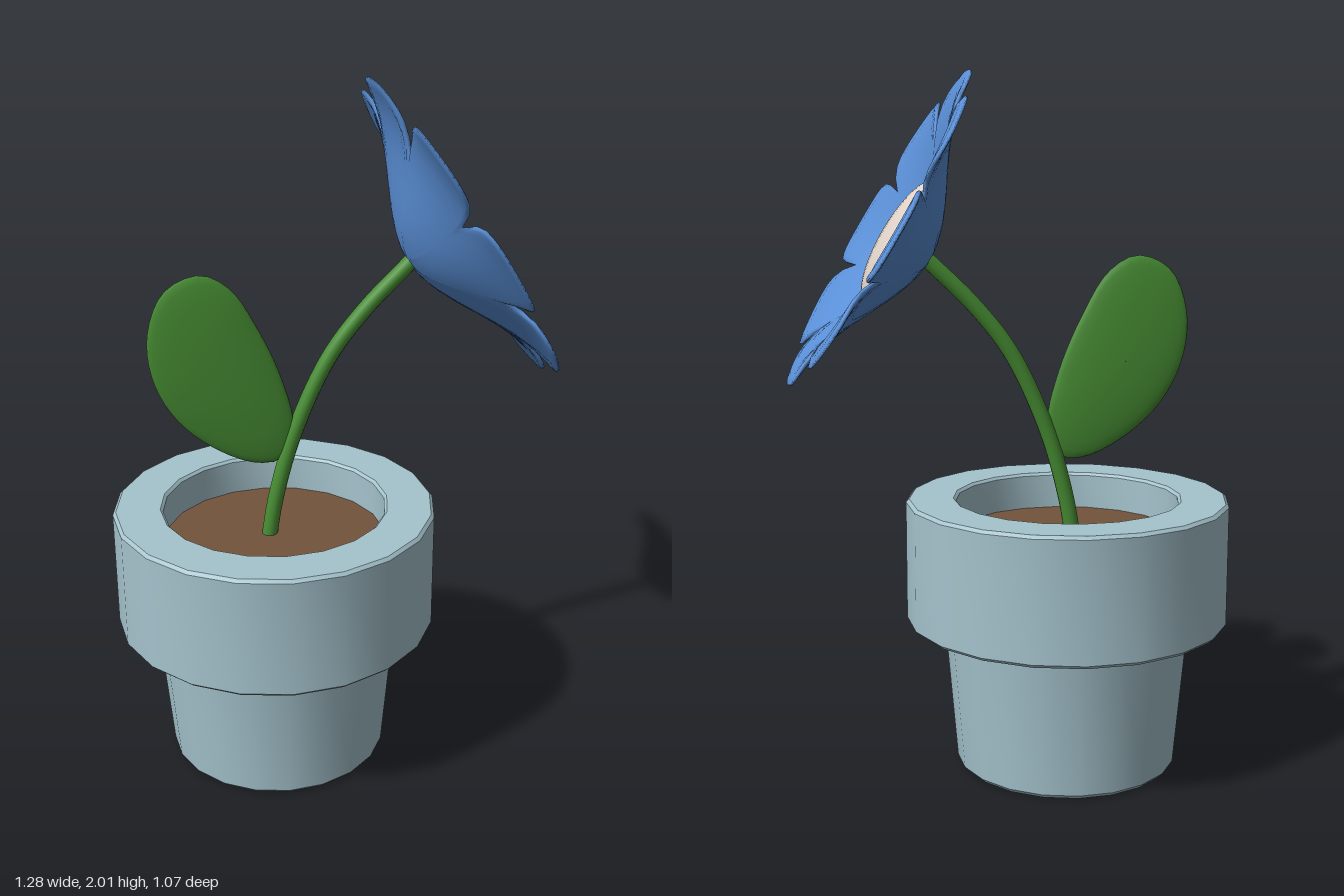
import * as THREE from 'three';
import { toCreasedNormals } from 'three/addons/utils/BufferGeometryUtils.js';

const material = (name, color) => {
  const m = new THREE.MeshStandardMaterial({ color });
  m.name = name;
  return m;
};

// Skins a list of closed rings, each holding the same number of points
function loft(rings) {
  const n = rings[0].length;
  const index = [];
  for (let i = 0; i < rings.length - 1; i++) {
    for (let j = 0; j < n; j++) {
      const k = (j + 1) % n;
      const a = i * n + j, b = a + n, c = (i + 1) * n + k, d = i * n + k;
      index.push(a, b, c, a, c, d);
    }
  }
  const geometry = new THREE.BufferGeometry().setFromPoints(rings.flat());
  geometry.setIndex(index);
  geometry.computeVertexNormals();
  return geometry;
}

// Eight joined petals: a shallow bowl with a scalloped rim
function petalGeometry() {
  const petals = 8, steps = 18, total = petals * steps;
  const scales = [0.001, 0.12, 0.25, 0.38, 0.5, 0.62, 0.74, 0.86, 0.95, 1];
  const ring = (s, drop) => Array.from({ length: total }, (_, j) => {
    const angle = (j / total) * Math.PI * 2 + Math.PI / 2;
    const phase = ((j + steps / 2) % steps) / steps * 2 - 1; // -1..1 across a petal
    const r = s * 0.495 * (1 - 0.35 * phase ** 4);
    const h = -0.15 + 0.16 * THREE.MathUtils.smoothstep(r, 0, 0.45);
    return new THREE.Vector3(Math.cos(angle) * r, Math.sin(angle) * r, h - drop);
  });
  const front = scales.map((s) => ring(s, s === 1 ? 0.004 : 0));
  const back = scales.map((s) => ring(s, s === 1 ? 0.01 : 0.014)).reverse();
  return loft([...front, ...back]);
}

// Plump leaf swelling inward from its outline
function leafGeometry() {
  const outline = [[-0.1, 1.02], [-0.13, 1.17], [-0.2, 1.34], [-0.27, 1.455], [-0.35, 1.5], [-0.445, 1.46],
    [-0.495, 1.34], [-0.485, 1.2], [-0.42, 1.07], [-0.31, 0.97], [-0.2, 0.92], [-0.13, 0.93]];
  const curve = new THREE.CatmullRomCurve3(outline.map(([x, y]) => new THREE.Vector3(x, y, 0)), true);
  const edge = curve.getSpacedPoints(48).slice(0, -1);
  const centre = new THREE.Vector3(-0.31, 1.2, 0);
  const rings = [];
  for (let i = 0; i <= 16; i++) {
    const t = THREE.MathUtils.lerp(0.003, Math.PI - 0.003, i / 16);
    rings.push(edge.map((p) => {
      const q = centre.clone().lerp(p, Math.sin(t));
      q.z = 0.024 * Math.cos(t);
      return q;
    }));
  }
  return loft(rings);
}

export function createModel() {
  const model = new THREE.Group();
  model.name = 'pottedFlower';
  const glaze = material('pale blue glaze', 0xa5c3cd);
  const earth = material('brown soil', 0x73533b);
  const green = material('leaf green', 0x478d33);
  const blue = material('petal blue', 0x5a8fd6);
  const cream = material('cream', 0xe0d2c8);
  const add = (parent, name, geometry, mat) => {
    const mesh = new THREE.Mesh(geometry, mat);
    mesh.name = name;
    parent.add(mesh);
    return mesh;
  };

  // Pot with a tapered body, heavy collar and softened edges
  const pot = new THREE.Group();
  pot.name = 'pot';
  pot.position.set(-0.17, 0, -0.063);
  pot.rotation.y = THREE.MathUtils.degToRad(-2.5);
  model.add(pot);
  const profile = [[0, 0], [0.312, 0], [0.323, 0.012], [0.36, 0.435], [0.46, 0.435], [0.47, 0.445],
    [0.47, 0.791], [0.461, 0.8], [0.333, 0.8], [0.325, 0.792], [0.325, 0.67]];
  const potShape = new THREE.LatheGeometry(profile.map(([x, y]) => new THREE.Vector2(x, y)), 20);
  add(pot, 'potShell', toCreasedNormals(potShape, 0.6), glaze);

  // Soil disc inside the collar
  const soil = add(pot, 'soil', new THREE.CylinderGeometry(0.325, 0.325, 0.02, 20), earth);
  soil.position.y = 0.68;

  // Stem and leaf share one upright plane turned about the vertical axis
  const lean = (x) => -0.045 + 0.26 * x;
  const path = [[-0.175, 0.68], [-0.155, 0.8], [-0.1, 1.0], [0, 1.225], [0.1, 1.36], [0.242, 1.505]];
  const stemCurve = new THREE.CatmullRomCurve3(path.map(([x, y]) => new THREE.Vector3(x, y, lean(x))));
  add(model, 'stem', new THREE.TubeGeometry(stemCurve, 32, 0.023, 12), green);

  const leafShape = leafGeometry();
  leafShape.applyMatrix4(new THREE.Matrix4().set(1, 0, 0, 0, 0, 1, 0, 0, 0.26, 0, 1, -0.045, 0, 0, 0, 1));
  leafShape.computeVertexNormals();
  add(model, 'leaf', leafShape, green);

  // Flower head facing the model's left and tilted up
  const head = new THREE.Group();
  head.name = 'flowerHead';
  head.position.set(0.36, 1.58, 0.05);
  head.rotation.set(THREE.MathUtils.degToRad(-31), THREE.MathUtils.degToRad(75.4), 0, 'YXZ');
  model.add(head);
  add(head, 'petals', petalGeometry(), blue);
  const centre = add(head, 'flowerCentre', new THREE.SphereGeometry(0.197, 32, 20), cream);
  centre.scale.z = 0.3;
  centre.position.z = -0.073;
  return model;
}
